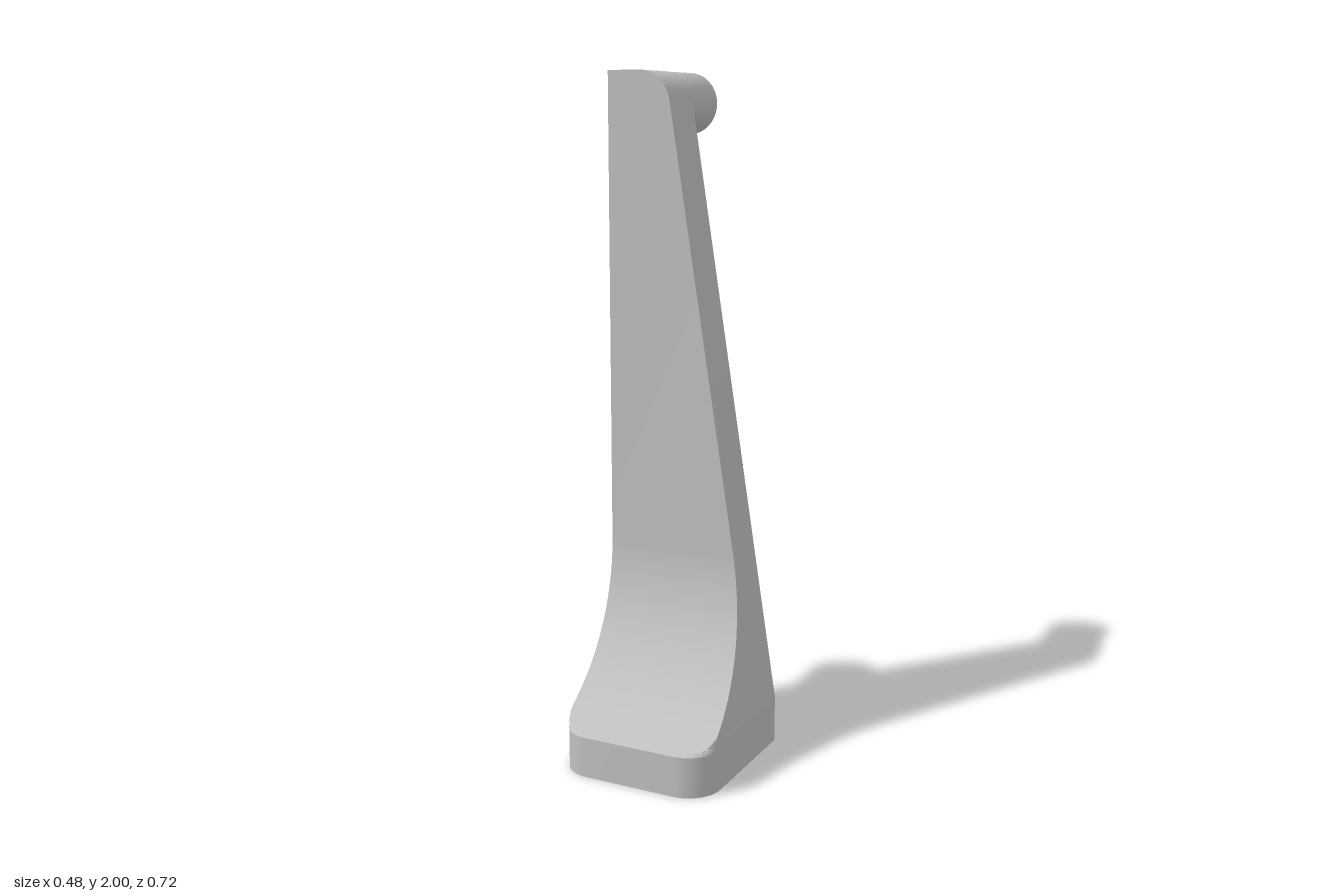
import * as THREE from 'three';
import { toCreasedNormals } from 'three/addons/utils/BufferGeometryUtils.js';

const LEFT = -0.24, RIGHT = 0.24, BACK = -0.125, FACE = 0.02, FRONT = 0.36;
const TOE = 0.12, SWEEP_TOP = 0.62, SWEEP_R = 0.538; // concave sweep of the foot
const R = 0.1; // corner radius of the foot and of the top
const TAPER_Y = 0.14, TAPER = 0.159, TOP_X = -0.141, TOP_Y = 1.9;
const TANGENT = Math.atan(TAPER);

// depth of the front surface at height y
function frontZ(y) {
  if (y <= TOE) return FRONT;
  if (y >= SWEEP_TOP) return FACE;
  return FACE + SWEEP_R - Math.sqrt(SWEEP_R ** 2 - (SWEEP_TOP - y) ** 2);
}

// position of the tapering side at height y
function sideX(y) {
  if (y <= TAPER_Y) return RIGHT;
  if (y < TOP_Y + R * Math.sin(TANGENT)) return RIGHT - TAPER * (y - TAPER_Y);
  return TOP_X + Math.sqrt(Math.max(0, R * R - (y - TOP_Y) ** 2));
}

// horizontal outline at height y, with rounded toe corners
function section(y) {
  const n = 16, zf = frontZ(y), xs = sideX(y), zc = FRONT - R;
  const end = Math.asin(THREE.MathUtils.clamp((zf - zc) / R, 0, 1));
  const points = [[LEFT, BACK]];
  for (let i = 0; i <= n; i++) {
    const a = end * i / n;
    points.push([LEFT + R - R * Math.cos(a), Math.min(zf, zc + R * Math.sin(a))]);
  }
  for (let i = n; i >= 0; i--) {
    const a = end * i / n;
    points.push([Math.min(xs, RIGHT - R + R * Math.cos(a)), Math.min(zf, zc + R * Math.sin(a))]);
  }
  points.push([xs, BACK]);
  return points.map(([x, z]) => [x, y, z]);
}

function bodyGeometry() {
  const heights = [0, TOE, TAPER_Y];
  for (let i = 1; i <= 24; i++) heights.push(TAPER_Y + (SWEEP_TOP - TAPER_Y) * i / 24);
  for (let i = 0; i <= 14; i++) {
    heights.push(TOP_Y + R * Math.sin(TANGENT + (Math.PI / 2 - TANGENT) * i / 14));
  }
  const rings = heights.map(section), count = rings[0].length, pos = [];
  const tri = (a, b, c) => pos.push(...a, ...b, ...c);
  for (let i = 0; i < rings.length - 1; i++) {
    for (let j = 0; j < count; j++) {
      const k = (j + 1) % count, low = rings[i], up = rings[i + 1];
      tri(low[j], low[k], up[k]);
      tri(low[j], up[k], up[j]);
    }
  }
  // bottom and top caps
  const bottom = rings[0], top = rings[rings.length - 1];
  for (let j = 1; j < count - 1; j++) {
    tri(bottom[0], bottom[j + 1], bottom[j]);
    tri(top[0], top[j], top[j + 1]);
  }
  const g = new THREE.BufferGeometry();
  g.setAttribute('position', new THREE.Float32BufferAttribute(pos, 3));
  return toCreasedNormals(g, 0.14);
}

export function createModel() {
  const grey = new THREE.MeshStandardMaterial({ color: 0xc0c0c0 });
  grey.name = 'grey';
  const model = new THREE.Group();
  model.name = 'bracket';

  const body = new THREE.Mesh(bodyGeometry(), grey);
  body.name = 'taperedBody';
  model.add(body);

  // two pegs with bevelled ends on the back
  const profile = [[0, 0], [0.091, 0], [0.091, 0.2], [0.083, 0.217], [0.06, 0.235], [0, 0.235]]
    .map(([r, h]) => new THREE.Vector2(r, h));
  const pegGeometry = toCreasedNormals(new THREE.LatheGeometry(profile, 32), 0.5);
  pegGeometry.rotateX(-Math.PI / 2);
  for (const [name, y] of [['upperPeg', 1.909], ['lowerPeg', 0.705]]) {
    const peg = new THREE.Mesh(pegGeometry, grey);
    peg.name = name;
    peg.position.set(-0.15, y, BACK);
    model.add(peg);
  }
  return model;
}
